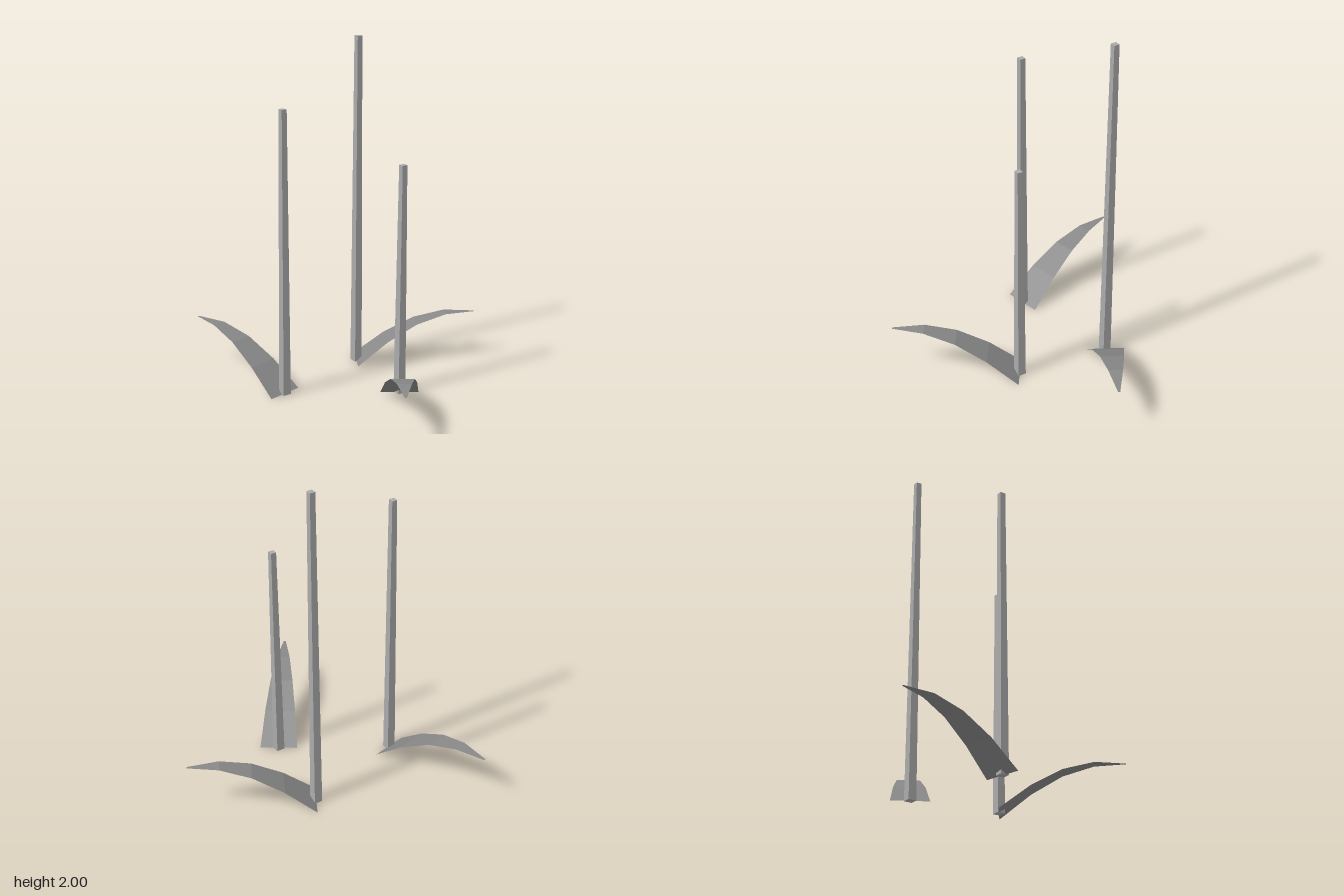
import * as THREE from 'three';

const stalkGrey = new THREE.MeshStandardMaterial({ name: 'stalkGrey', color: 0xaaaaaa, flatShading: true });
const leafGrey = new THREE.MeshStandardMaterial({ name: 'leafGrey', color: 0x888888, flatShading: true, side: THREE.DoubleSide });

// Cross-sections of a leaf at equal steps from base to tip
const LEAF_WIDTHS = [0.222, 0.182, 0.135, 0.082, 0.012];
const LEAF_HEIGHTS = [0, 0.14, 0.24, 0.29, 0.29];
const LEAF_STEP = 0.725 / 4;

// Thin arching blade that grows from the origin toward +z
function leafGeometry() {
  const geometry = new THREE.PlaneGeometry(1, 1, 1, 4);
  const position = geometry.attributes.position;
  for (let i = 0; i < position.count; i++) {
    const row = Math.floor(i / 2);
    const side = i % 2 ? 0.5 : -0.5;
    position.setXYZ(i, side * LEAF_WIDTHS[row], LEAF_HEIGHTS[row], row * LEAF_STEP);
  }
  geometry.computeVertexNormals();
  return geometry;
}

// Position, stalk height and the direction the leaf points in
const PLANTS = [
  { name: 'leftPlant', x: 0.444, z: -0.04, height: 1.365, dx: 0.126, dz: 0.715 },
  { name: 'backPlant', x: 0.118, z: -0.473, height: 2, dx: 0.695, dz: -0.205 },
  { name: 'rightPlant', x: -0.205, z: 0.103, height: 1.685, dx: -0.613, dz: -0.385 },
];

export function createModel() {
  const model = new THREE.Group();
  model.name = 'tallStalksWithLeaves';
  const blade = leafGeometry();

  for (const { name, x, z, height, dx, dz } of PLANTS) {
    const plant = new THREE.Group();
    plant.name = name;
    plant.position.set(x, 0, z);

    // Four-sided tapering stalk, standing corner-on
    const stalk = new THREE.Mesh(new THREE.CylinderGeometry(0.023, 0.035, height, 4), stalkGrey);
    stalk.name = 'stalk';
    stalk.position.y = height / 2;

    const leaf = new THREE.Mesh(blade, leafGrey);
    leaf.name = 'leaf';
    leaf.rotation.y = Math.atan2(dx, dz);

    plant.add(stalk, leaf);
    model.add(plant);
  }
  return model;
}
